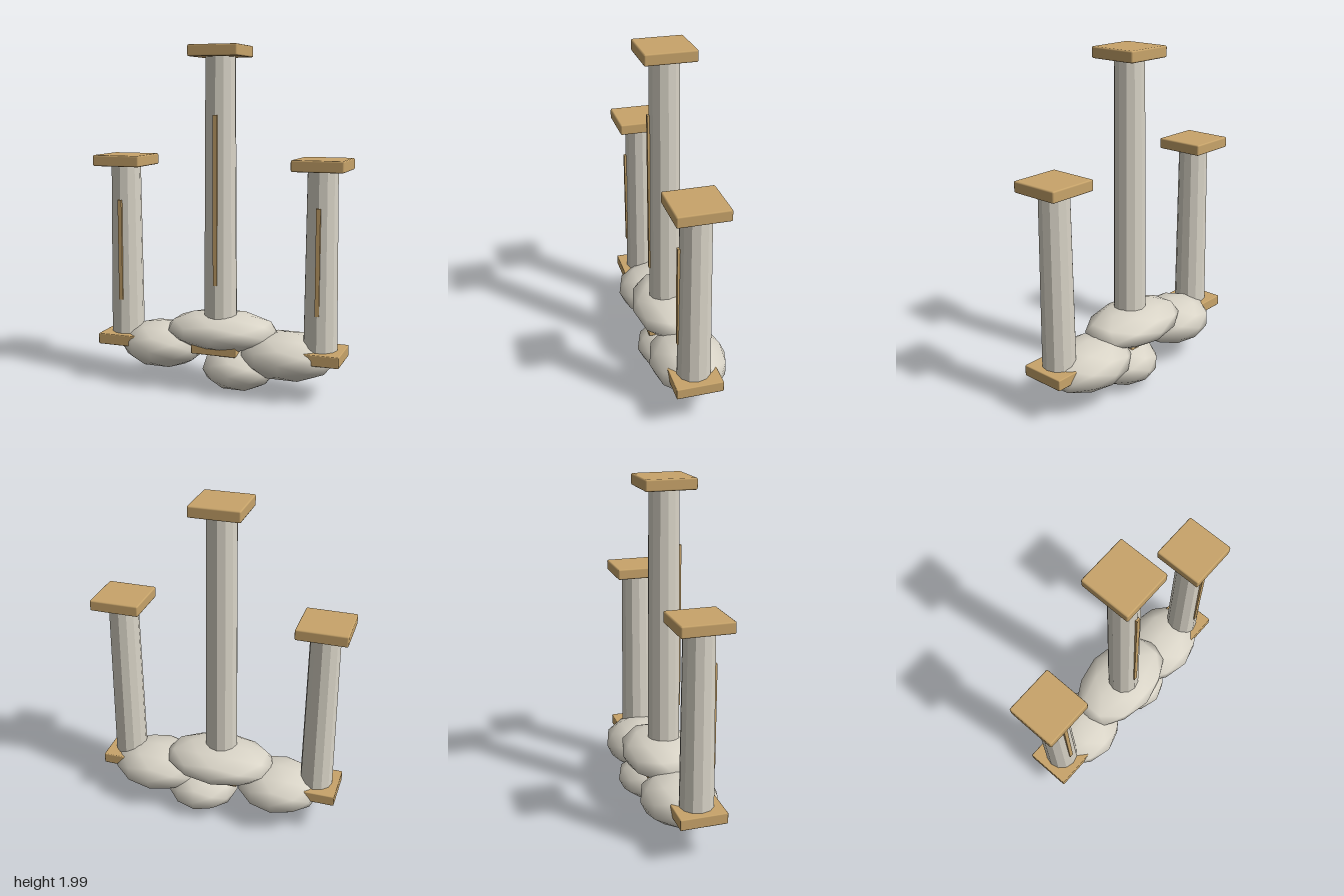
import * as THREE from 'three';
import { RoundedBoxGeometry } from 'three/addons/geometries/RoundedBoxGeometry.js';

export function createModel() {
  const model = new THREE.Group();
  model.name = 'cloudPillars';

  const stone = new THREE.MeshStandardMaterial({ color: 0xd9d4c7 });
  stone.name = 'pale stone';
  const facetedStone = stone;
  const gold = new THREE.MeshStandardMaterial({ color: 0xc8a46a });
  gold.name = 'warm gold';

  const add = (parent, name, geometry, material, x, y, z) => {
    const mesh = new THREE.Mesh(geometry, material);
    mesh.name = name;
    mesh.position.set(x, y, z);
    parent.add(mesh);
    return mesh;
  };

  // Low-poly cloud puffs: centre, then radii
  const puffs = [
    ['topCloud', 0, 0.348, 0, 0.346, 0.117, 0.228],
    ['rightCloud', -0.375, 0.235, 0, 0.26, 0.14, 0.228],
    ['leftCloud', 0.4, 0.235, 0, 0.29, 0.14, 0.228],
    ['bottomCloud', 0.11, 0.138, 0, 0.222, 0.132, 0.228],
  ];
  for (const [name, x, y, z, rx, ry, rz] of puffs) {
    add(model, name, new THREE.IcosahedronGeometry(1, 1), stone, x, y, z).scale.set(rx, ry, rz);
  }

  // Pillar: base slab, tapered faceted shaft, cap slab and front inlay strip
  const foot = 0.3, slab = 0.065, z = 0.025;
  const pillar = (name, x, top) => {
    const group = new THREE.Group();
    group.name = name;
    group.position.set(x, 0, z);
    model.add(group);
    const shaftTop = top - slab;
    const height = shaftTop - foot;
    const shaft = new THREE.CylinderGeometry(0.087, 0.098, height, 12).toNonIndexed();
    shaft.computeVertexNormals(); // crisp facets
    add(group, 'base', new RoundedBoxGeometry(0.272, slab, 0.272, 1, 0.006), gold, 0, foot - slab / 2, 0);
    add(group, 'shaft', shaft, facetedStone, 0, foot + height / 2, 0);
    add(group, 'cap', new RoundedBoxGeometry(0.294, slab, 0.294, 1, 0.009), gold, 0, top - slab / 2, 0);
    add(group, 'inlayStrip', new THREE.BoxGeometry(0.024, height * 0.595, 0.016), gold,
      0, foot + height * 0.505, 0.092);
  };
  pillar('centrePillar', 0, 2);
  for (const side of [-1, 1]) pillar(side < 0 ? 'rightPillar' : 'leftPillar', side * 0.6, 1.375);

  return model;
}
